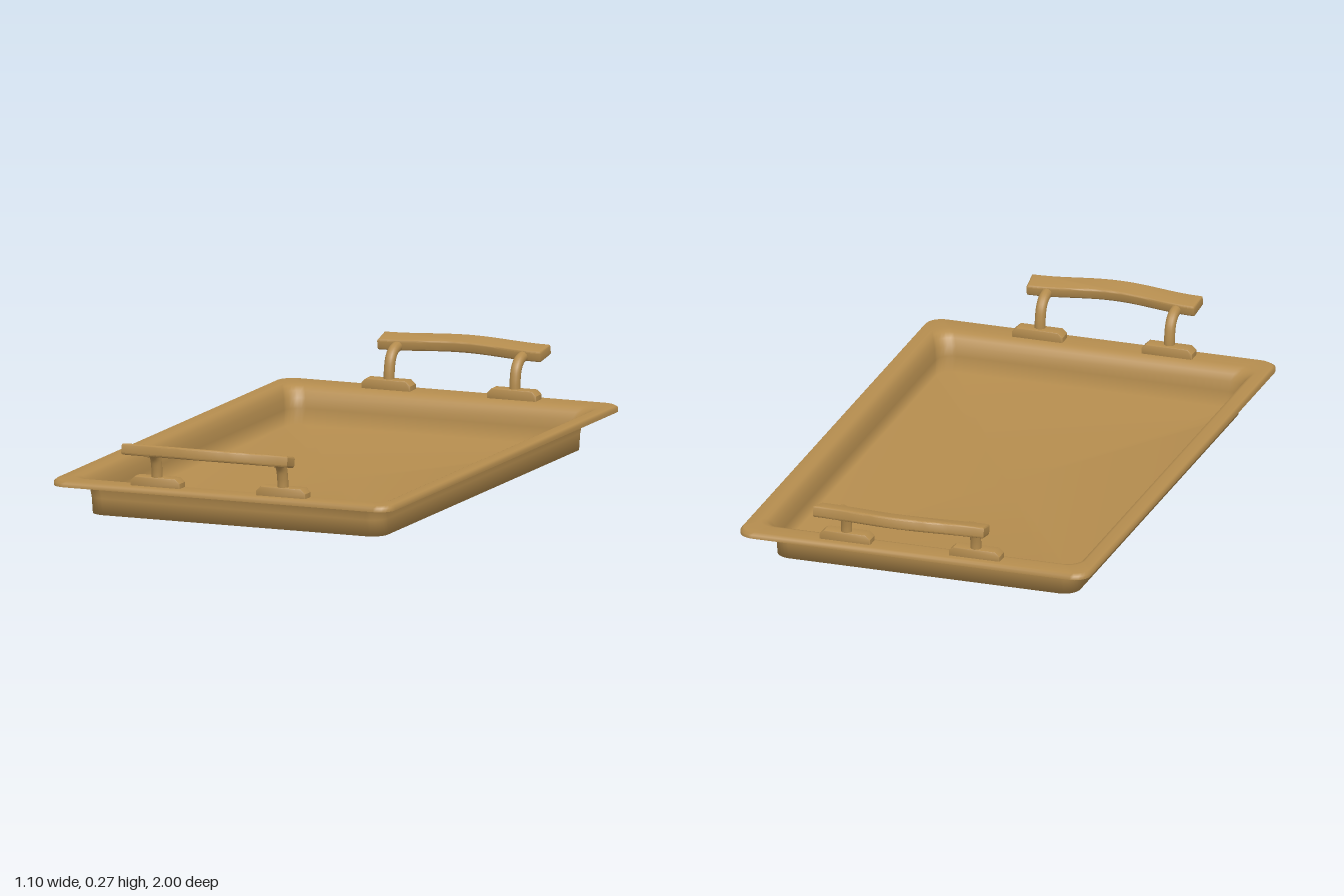
import * as THREE from 'three';
import { toCreasedNormals } from 'three/addons/utils/BufferGeometryUtils.js';

// Closed loop of points around a rounded rectangle at height y
function ring(hx, hz, r, y, steps = 6) {
  const pts = [];
  [[1, 1], [-1, 1], [-1, -1], [1, -1]].forEach(([sx, sz], k) => {
    for (let i = 0; i <= steps; i++) {
      const a = (k + i / steps) * Math.PI / 2;
      pts.push([sx * (hx - r) + r * Math.cos(a), y, sz * (hz - r) + r * Math.sin(a)]);
    }
  });
  return pts;
}

// Pressed sheet: rings from the rim's lip inward and down to the floor
function trayGeometry() {
  const profile = [ // [inset 0..1, height]
    [0, 0.1], [0, 0.111], [0.08, 0.118], [0.55, 0.117], [0.7, 0.112],
    [0.82, 0.1], [0.92, 0.08], [0.97, 0.05], [1, 0],
  ];
  const rings = profile.map(([t, y]) => ring(0.55 - 0.075 * t, 0.893 - 0.121 * t, 0.05, y));
  const n = rings[0].length, index = [];
  const positions = rings.flat(2);
  const centre = positions.length / 3;
  positions.push(0, 0, 0);
  for (let i = 0; i < rings.length; i++) {
    for (let j = 0; j < n; j++) {
      const k = (j + 1) % n;
      const a = i * n + j, b = i * n + k;
      if (i === rings.length - 1) index.push(a, centre, b);
      else index.push(a, a + n, b, b, a + n, b + n);
    }
  }
  const g = new THREE.BufferGeometry();
  g.setAttribute('position', new THREE.Float32BufferAttribute(positions, 3));
  g.setIndex(index);
  g.computeVertexNormals();
  return g;
}

// Bowed bar, tilted up toward its outer edge
function gripGeometry() {
  const half = 0.262, bevel = 0.006, depth = 0.034, steps = 20;
  const bow = x => 0.026 * (0.5 + 0.5 * Math.cos(Math.PI * x / half));
  const pts = [];
  for (let i = 0; i <= steps; i++) {
    const x = -half + 2 * half * i / steps;
    pts.push(new THREE.Vector2(x * 0.985, bow(x) - 0.028));
  }
  for (let i = steps; i >= 0; i--) {
    const x = -half + 2 * half * i / steps;
    pts.push(new THREE.Vector2(x, bow(x) + 0.028));
  }
  const g = new THREE.ExtrudeGeometry(new THREE.Shape(pts), {
    depth: depth - 2 * bevel, bevelThickness: bevel, bevelSize: bevel, bevelSegments: 3,
  });
  g.translate(0, 0, bevel - depth / 2);
  g.rotateX(Math.PI / 2);
  g.rotateX(-0.2);
  return toCreasedNormals(g, 0.7);
}

// Mounting plate with chamfered upper ends
function footGeometry() {
  const pts = [[-0.077, 0], [0.077, 0], [0.077, 0.017], [0.064, 0.029], [-0.064, 0.029], [-0.077, 0.017]];
  const shape = new THREE.Shape(pts.map(p => new THREE.Vector2(...p)));
  const g = new THREE.ExtrudeGeometry(shape, {
    depth: 0.037, bevelThickness: 0.004, bevelSize: 0.003, bevelSegments: 2,
  });
  g.translate(0, 0, -0.0185);
  return toCreasedNormals(g, 0.6);
}

export function createModel() {
  const bronze = new THREE.MeshStandardMaterial({ color: 0xb48c4e });
  bronze.name = 'bronze';
  const bronzeSheet = bronze.clone();
  bronzeSheet.name = 'bronzeSheet';
  bronzeSheet.side = THREE.DoubleSide;

  const model = new THREE.Group();
  model.name = 'servingTray';
  const add = (parent, name, geometry, material, x = 0, y = 0, z = 0) => {
    const mesh = new THREE.Mesh(geometry, material);
    mesh.name = name;
    mesh.position.set(x, y, z);
    parent.add(mesh);
  };

  add(model, 'trayBody', trayGeometry(), bronzeSheet);

  // Stem rises from the foot and bends outward into the grip
  const stemPath = new THREE.CatmullRomCurve3([
    [0, 0.125, 0.849], [0, 0.17, 0.851], [0, 0.205, 0.861], [0, 0.226, 0.883], [0, 0.235, 0.93],
  ].map(p => new THREE.Vector3(...p)));
  const stem = new THREE.TubeGeometry(stemPath, 20, 0.0165, 12);
  const foot = footGeometry();
  const grip = gripGeometry();

  // Two identical handles, the back one turned half a circle
  for (const [name, turn] of [['frontHandle', 0], ['backHandle', Math.PI]]) {
    const handle = new THREE.Group();
    handle.name = name;
    handle.rotation.y = turn;
    add(handle, 'grip', grip, bronze, -0.012, 0.241, 0.939);
    for (const [side, x] of [['right', -0.217], ['left', 0.19]]) {
      add(handle, side + 'Stem', stem, bronze, x);
      add(handle, side + 'Foot', foot, bronze, x, 0.114, 0.845);
    }
    model.add(handle);
  }
  return model;
}
